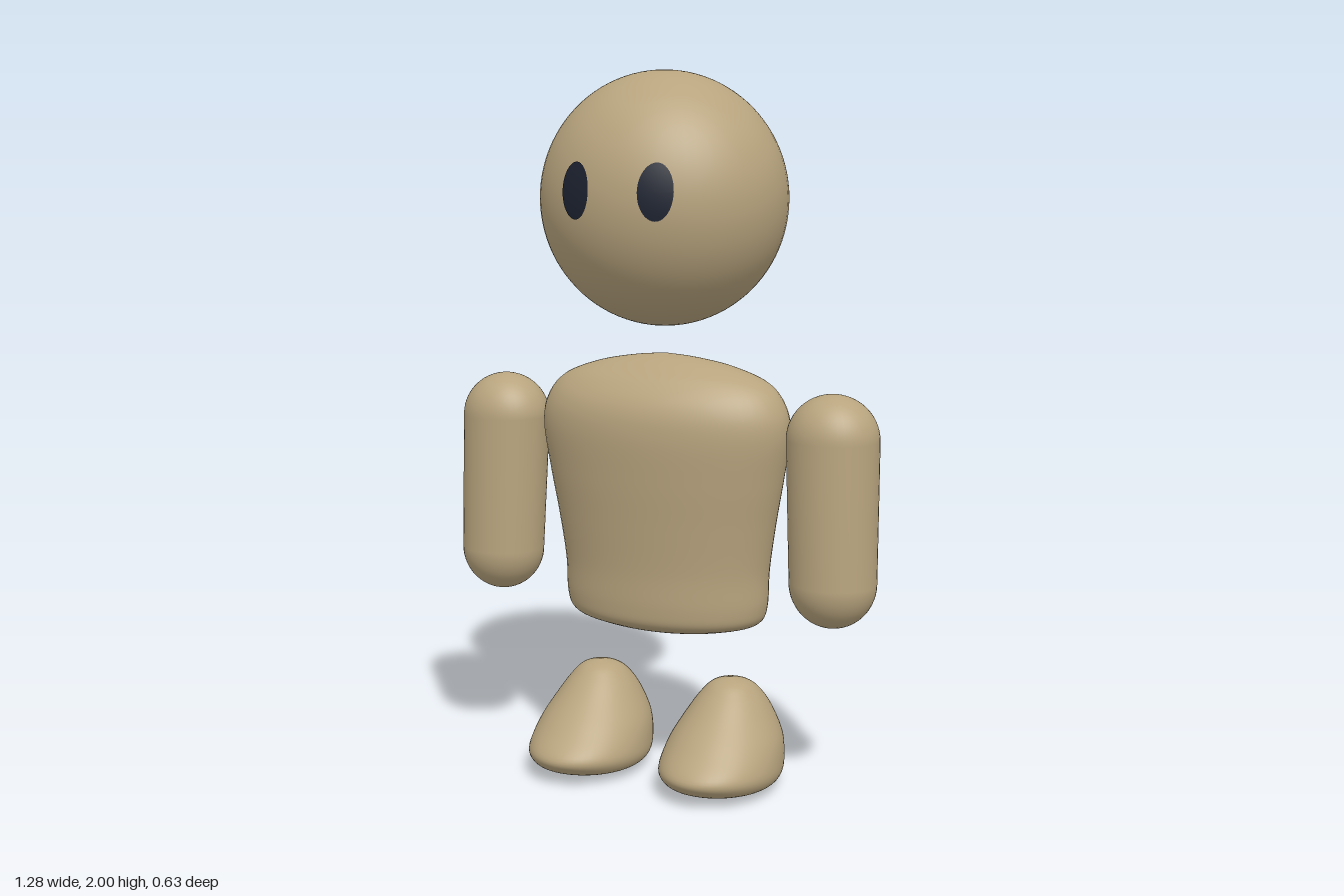
import * as THREE from 'three';

const skin = new THREE.MeshStandardMaterial({ color: 0xb8a47e });
const dark = new THREE.MeshStandardMaterial({ color: 0x1c2230 });

function part(name, geometry, material = skin) {
  const mesh = new THREE.Mesh(geometry, material);
  mesh.name = name;
  return mesh;
}

// Smooth closed body through elliptical sections [y, x radius, back z, front z], bottom to top
function loft(sections, rows = 60, sides = 56) {
  const size = new THREE.CatmullRomCurve3(
    sections.map(([y, rx, back, front]) => new THREE.Vector3(y, rx, (front - back) / 2)), false, 'catmullrom');
  const shift = new THREE.CatmullRomCurve3(
    sections.map(([, , back, front]) => new THREE.Vector3((front + back) / 2, 0, 0)), false, 'catmullrom');
  const position = [], index = [];
  for (let i = 0; i <= rows; i++) {
    const { x: y, y: rx, z: rz } = size.getPoint(i / rows);
    const cz = shift.getPoint(i / rows).x;
    for (let j = 0; j < sides; j++) {
      const a = (j / sides) * Math.PI * 2;
      position.push(rx * Math.cos(a), y, cz + rz * Math.sin(a));
      if (i === rows) continue;
      const p = i * sides + j, q = i * sides + (j + 1) % sides;
      if (i < rows - 1) index.push(p, p + sides, q + sides);
      if (i > 0) index.push(p, q + sides, q);
      if (i === 0) index.push(p, p + sides, q + sides);
      if (i === rows - 1) index.push(p, p + sides, q);
    }
  }
  const geometry = new THREE.BufferGeometry();
  geometry.setAttribute('position', new THREE.Float32BufferAttribute(position, 3));
  geometry.setIndex([...new Set(index).size ? index : []]);
  geometry.computeVertexNormals();
  return geometry;
}

// Move every vertex of a geometry by a rule
function reshape(geometry, rule) {
  const p = geometry.attributes.position;
  for (let i = 0; i < p.count; i++) p.setXYZ(i, ...rule(p.getX(i), p.getY(i), p.getZ(i)));
  geometry.computeVertexNormals();
  return geometry;
}

const HEAD = { y: 1.65, rx: 0.35, ry: 0.35, rz: 0.315 };

// Oval eye lying on the front of the head
function eyeGeometry(side) {
  return reshape(new THREE.RingGeometry(0, 1, 40, 8), (u, v) => {
    const x = side * 0.118 + u * 0.046, y = 0.03 + v * 0.076;
    const z = HEAD.rz * Math.sqrt(1 - (x / HEAD.rx) ** 2 - (y / HEAD.ry) ** 2);
    return [x, HEAD.y + y, z + 0.003];
  });
}

// Capsule arm, a little wider at the shoulder and leaning forward at the hand
function armGeometry(side) {
  return reshape(new THREE.CapsuleGeometry(0.125, 0.391, 14, 44), (x, y, z) => {
    const t = THREE.MathUtils.clamp(y / 0.391 + 0.5, 0, 1);
    const lerp = THREE.MathUtils.lerp;
    return [
      side * lerp(0.519, 0.509, t) + x * lerp(0.97, 1.03, t),
      y + 0.818,
      lerp(0.018, 0.006, t) + z * lerp(0.915, 0.93, t),
    ];
  });
}

export function createModel() {
  const model = new THREE.Group();
  model.name = 'figure';

  // Head
  const head = part('head', new THREE.SphereGeometry(1, 64, 48));
  head.scale.set(HEAD.rx, HEAD.ry, HEAD.rz);
  head.position.y = HEAD.y;
  model.add(head);

  // Torso: broad rounded shoulders, narrower waist, shallow domed ends
  model.add(part('torso', loft([
    [0.415, 0, -0.015, -0.015],
    [0.432, 0.13, -0.09, 0.06],
    [0.45, 0.23, -0.143, 0.113],
    [0.472, 0.288, -0.174, 0.144],
    [0.52, 0.307, -0.184, 0.153],
    [0.62, 0.312, -0.186, 0.156],
    [0.75, 0.331, -0.189, 0.167],
    [0.88, 0.355, -0.192, 0.179],
    [1.01, 0.375, -0.195, 0.186],
    [1.09, 0.36, -0.183, 0.172],
    [1.15, 0.31, -0.148, 0.132],
    [1.19, 0.21, -0.1, 0.084],
    [1.212, 0.1, -0.05, 0.036],
    [1.222, 0, -0.01, -0.01],
  ], 91)));

  // Foot: rounded ankle sloping forward to the toe
  const footGeometry = loft([
    [0.005, 0, 0.06, 0.06],
    [0.013, 0.09, -0.04, 0.15],
    [0.026, 0.14, -0.11, 0.212],
    [0.048, 0.163, -0.15, 0.258],
    [0.085, 0.167, -0.168, 0.275],
    [0.148, 0.154, -0.164, 0.213],
    [0.217, 0.118, -0.138, 0.138],
    [0.268, 0.083, -0.1, 0.083],
    [0.297, 0.05, -0.058, 0.046],
    [0.311, 0, 0, 0],
  ], 63);

  for (const [label, side] of [['left', 1], ['right', -1]]) {
    model.add(part(label + 'Eye', eyeGeometry(side), dark));
    model.add(part(label + 'Arm', armGeometry(side)));
    const foot = part(label + 'Foot', footGeometry);
    foot.position.x = side * 0.208;
    model.add(foot);
  }
  return model;
}
